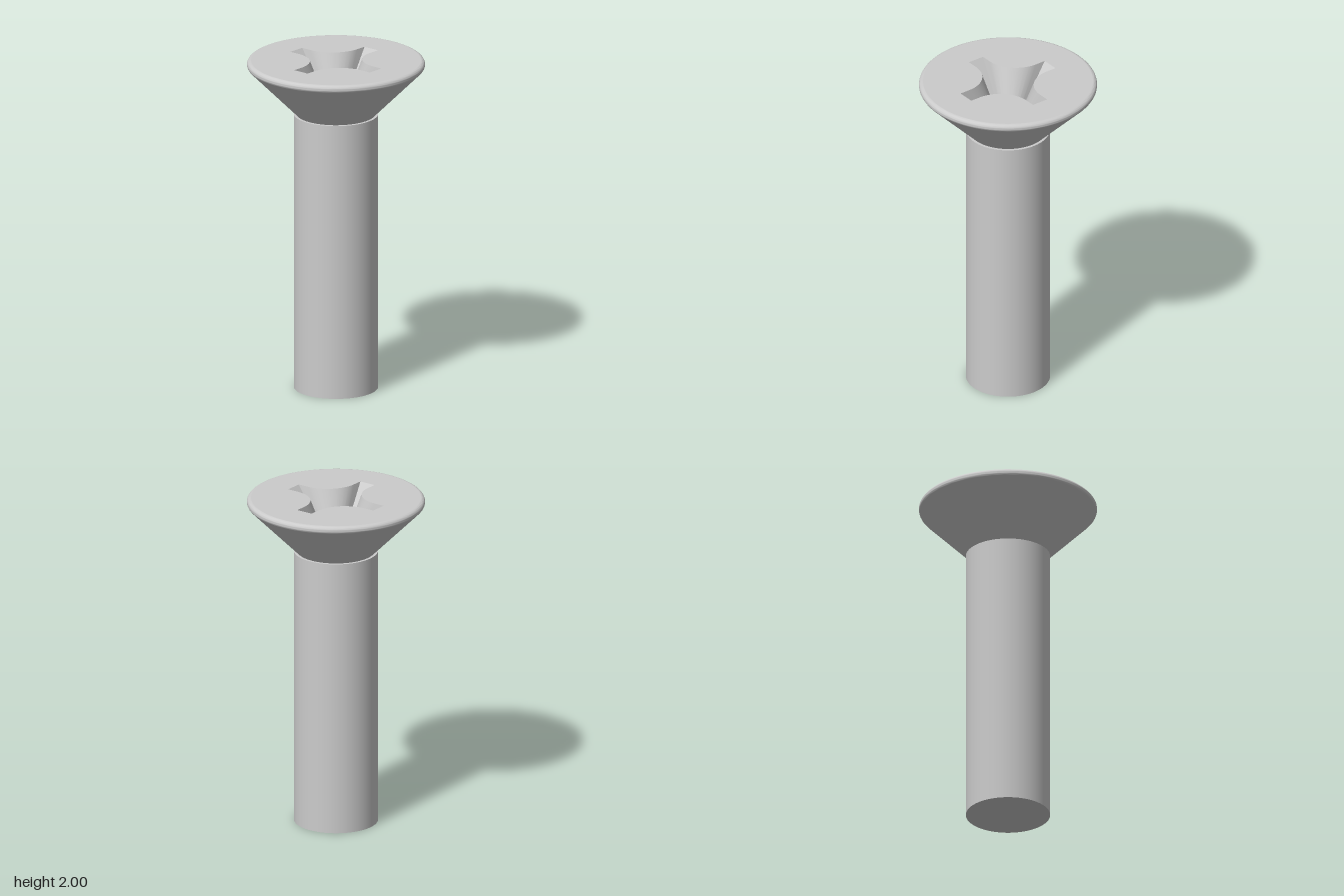
import * as THREE from 'three';
import { toCreasedNormals } from 'three/addons/utils/BufferGeometryUtils.js';

const SEGMENTS = 96;
const TOP = 2, SHANK_TOP = 1.672, RECESS_FLOOR = 1.69;
const SHANK_RADIUS = 0.247, RIM_CENTRE = 0.497, RIM_FILLET = 0.025;

// Cross outline: arms of length l and half width w, joined by concave arcs centred on (c, c)
function crossOutline(l, w, c, steps = 20) {
  const quarter = [new THREE.Vector2(l, -w), new THREE.Vector2(l, w)];
  for (let i = 0; i <= steps; i++) {
    const a = Math.PI * (1.5 - 0.5 * i / steps);
    quarter.push(new THREE.Vector2(c + (c - w) * Math.cos(a), c + (c - w) * Math.sin(a)));
  }
  const origin = new THREE.Vector2();
  const points = [];
  for (let k = 0; k < 4; k++) {
    for (const p of quarter) points.push(p.clone().rotateAround(origin, k * Math.PI / 2));
  }
  return points;
}

// Inward-facing walls between two outlines
function recessWalls(upper, lower, yUpper, yLower) {
  const positions = [];
  const n = upper.length;
  for (let i = 0; i < n; i++) {
    const j = (i + 1) % n;
    const a = [upper[i].x, yUpper, -upper[i].y];
    const b = [upper[j].x, yUpper, -upper[j].y];
    const c = [lower[j].x, yLower, -lower[j].y];
    const d = [lower[i].x, yLower, -lower[i].y];
    positions.push(...a, ...b, ...c, ...a, ...c, ...d);
  }
  const geometry = new THREE.BufferGeometry();
  geometry.setAttribute('position', new THREE.Float32BufferAttribute(positions, 3));
  return toCreasedNormals(geometry, 0.5);
}

// Flat shape laid horizontally, facing up
function flatFace(shape, y) {
  return new THREE.ShapeGeometry(shape, SEGMENTS).rotateX(-Math.PI / 2).translate(0, y, 0);
}

export function createModel() {
  const group = new THREE.Group();
  const material = new THREE.MeshStandardMaterial({ color: 0xcccccc });
  const add = (name, geometry, parent) => {
    const mesh = new THREE.Mesh(geometry, material);
    mesh.name = name;
    parent.add(mesh);
  };

  // Plain cylindrical shank
  add('shank', new THREE.CylinderGeometry(SHANK_RADIUS, SHANK_RADIUS, SHANK_TOP, SEGMENTS)
    .translate(0, SHANK_TOP / 2, 0), group);

  // Countersunk head: 45 degree cone running into a rounded rim
  const head = new THREE.Group();
  head.name = 'head';
  group.add(head);
  const profile = [new THREE.Vector2(0.23, SHANK_TOP)];
  for (let i = 0; i <= 12; i++) {
    const a = Math.PI * (-0.25 + 0.75 * i / 12);
    profile.push(new THREE.Vector2(
      RIM_CENTRE + RIM_FILLET * Math.cos(a),
      TOP - RIM_FILLET + RIM_FILLET * Math.sin(a)));
  }
  add('headCone', toCreasedNormals(new THREE.LatheGeometry(profile, SEGMENTS), 0.5), head);

  // Top face pierced by the cross recess
  const upper = crossOutline(0.31, 0.052, 0.245);
  const lower = crossOutline(0.07, 0.011, 0.062);
  const face = new THREE.Shape().absarc(0, 0, RIM_CENTRE, 0, Math.PI * 2);
  face.holes.push(new THREE.Path(upper));
  add('headTop', flatFace(face, TOP), head);

  // Tapered cross recess
  add('recessWalls', recessWalls(upper, lower, TOP, RECESS_FLOOR), head);
  add('recessFloor', flatFace(new THREE.Shape(lower), RECESS_FLOOR), head);

  return group;
}
